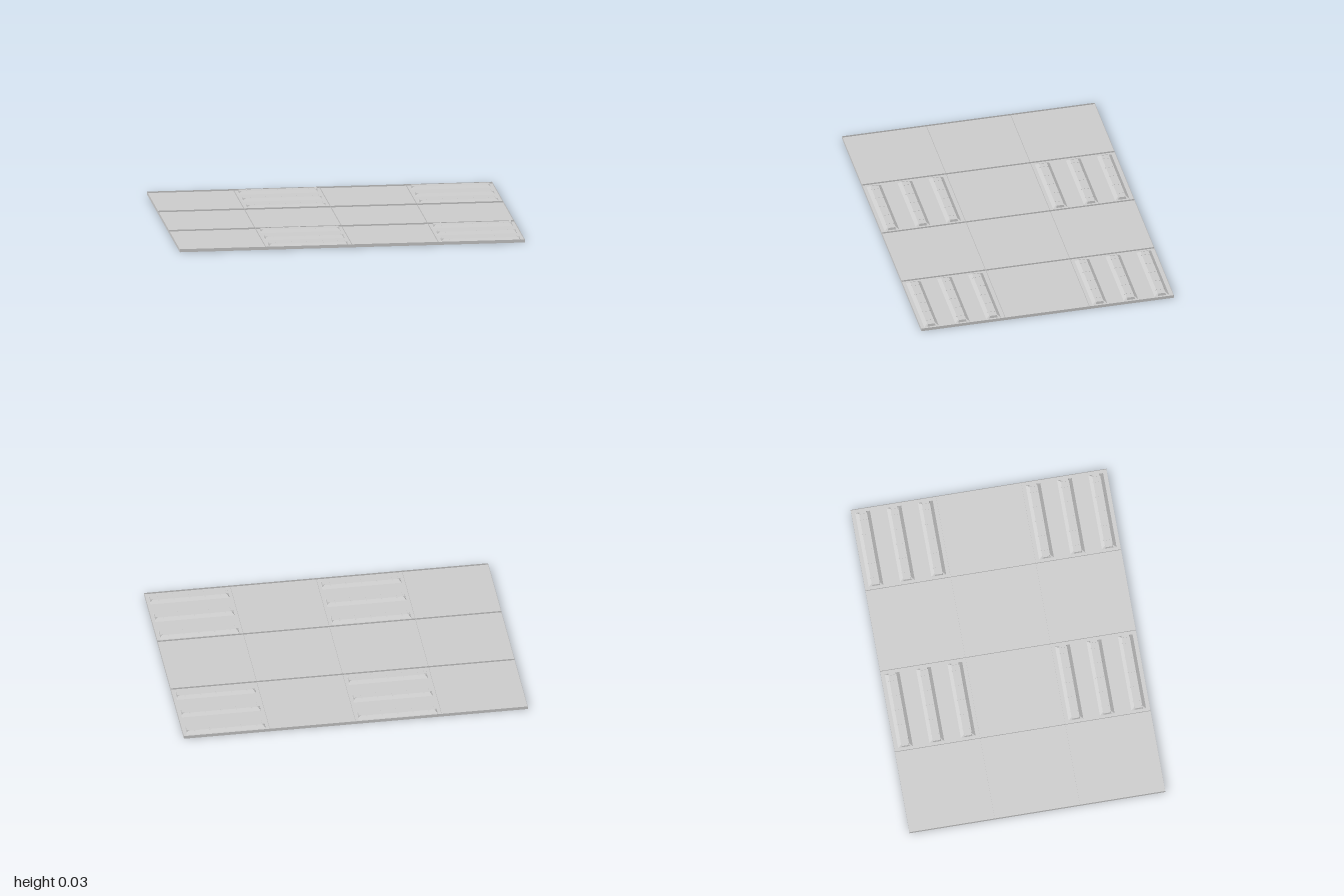
import * as THREE from 'three';

const W = 0.5, D = 0.497;          // tile size
const H = 0.018, SHEET = 0.009;    // rim height, panel level
const SPACING = 0.183;             // distance between fixtures in a tile
const LEN = 0.46, WID = 0.086;     // fixture opening

const mat = new THREE.MeshStandardMaterial({
  color: 0xcccccc, side: THREE.DoubleSide, flatShading: true,
});

function add(parent, name, geometry, x = 0, y = 0, z = 0) {
  const mesh = new THREE.Mesh(geometry, mat);
  mesh.name = name;
  mesh.position.set(x, y, z);
  parent.add(mesh);
  return mesh;
}

// Box whose top is narrower than its base, standing on y = 0; optionally open below
function taperedBox(w, h, d, topW, topD, open = false) {
  const g = new THREE.BoxGeometry(w, h, d).translate(0, h / 2, 0);
  const p = g.attributes.position;
  for (let i = 0; i < p.count; i++) {
    if (p.getY(i) > h / 2) {
      p.setX(i, Math.sign(p.getX(i)) * topW / 2);
      p.setZ(i, Math.sign(p.getZ(i)) * topD / 2);
    }
  }
  if (open) {
    const index = Array.from(g.index.array);
    index.splice(18, 6);
    g.setIndex(index);
  }
  g.computeVertexNormals();
  return g;
}

// Flat panel, with three slots where fixtures sit
function panelGeometry(slotted) {
  const s = new THREE.Shape();
  s.moveTo(-W / 2, -D / 2).lineTo(W / 2, -D / 2).lineTo(W / 2, D / 2).lineTo(-W / 2, D / 2).closePath();
  if (slotted) {
    for (const k of [-1, 0, 1]) {
      const z = k * SPACING, a = LEN / 2, b = WID / 2;
      const hole = new THREE.Path();
      hole.moveTo(-a, z - b).lineTo(-a, z + b).lineTo(a, z + b).lineTo(a, z - b).closePath();
      s.holes.push(hole);
    }
  }
  return new THREE.ShapeGeometry(s).rotateX(-Math.PI / 2);
}

const plain = panelGeometry(false), slotted = panelGeometry(true);
const trough = taperedBox(LEN, 0.015, WID, 0.43, 0.046, true);
const rib = taperedBox(0.007, 0.016, 0.078, 0.007, 0.048);
const socket = taperedBox(0.018, 0.017, 0.05, 0.014, 0.04);

// Recessed fixture: hollow trough, cross ribs and end sockets
function makeFixture() {
  const g = new THREE.Group();
  g.name = 'fixture';
  add(g, 'trough', trough, 0, SHEET, 0);
  for (let i = -2; i <= 2; i++) add(g, 'crossRib', rib, i * 0.09, SHEET, 0);
  for (const s of [-1, 1]) add(g, 'endSocket', socket, s * 0.219, SHEET, 0);
  return g;
}

export function createModel() {
  const model = new THREE.Group();
  model.name = 'panelGrid';

  // Tiles, four columns by three rows
  for (let c = 0; c < 4; c++) {
    for (let r = 0; r < 3; r++) {
      const hasFixtures = c % 2 === 1 && r !== 1;
      const tile = new THREE.Group();
      tile.name = 'tile';
      tile.position.set((c - 1.5) * W, 0, (r - 1) * D);
      add(tile, 'panel', hasFixtures ? slotted : plain, 0, SHEET, 0);
      if (hasFixtures) {
        for (const k of [-1, 0, 1]) {
          const f = makeFixture();
          f.position.z = k * SPACING;
          tile.add(f);
        }
      }
      model.add(tile);
    }
  }

  // Thin upright rims along every tile border
  const longRim = new THREE.PlaneGeometry(4 * W, H);
  const crossRim = new THREE.PlaneGeometry(3 * D, H).rotateY(Math.PI / 2);
  for (let r = 0; r <= 3; r++) add(model, 'longRim', longRim, 0, H / 2, (r - 1.5) * D);
  for (let c = 0; c <= 4; c++) add(model, 'crossRim', crossRim, (c - 2) * W, H / 2, 0);

  return model;
}
